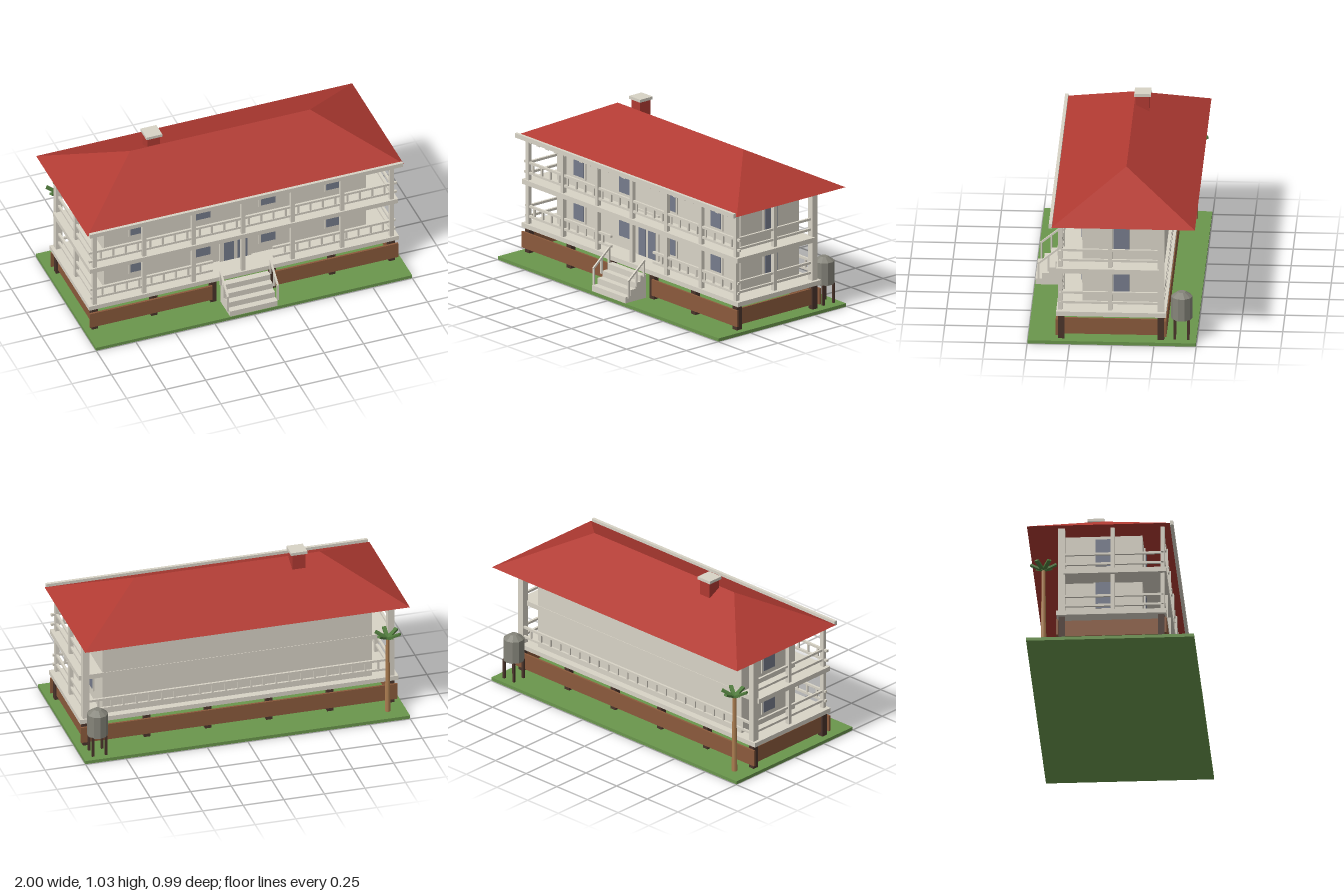
import * as THREE from 'three';

const paint = (name, hex) => {
  const m = new THREE.MeshStandardMaterial({ color: hex });
  m.name = name;
  return m;
};

export function createModel() {
  const model = new THREE.Group();
  model.name = 'verandaHouse';
  const cream = paint('cream', 0xd8d3c6), red = paint('roofRed', 0xb03a32),
    grass = paint('grassGreen', 0x6a964c), wood = paint('skirtBrown', 0x8b5a3c),
    dark = paint('darkWood', 0x4a342b), glass = paint('windowGrey', 0x767c8c),
    metal = paint('tankGrey', 0x85847a), bark = paint('bark', 0xab7d50),
    leaf = paint('leafGreen', 0x4f7a3c);
  metal.flatShading = true;
  bark.flatShading = true;

  const add = (name, geo, mat, parent = model) => {
    const mesh = new THREE.Mesh(geo, mat);
    mesh.name = name;
    parent.add(mesh);
    return mesh;
  };
  // Box given by its limits on each axis
  const box = (name, mat, x0, x1, y0, y1, z0, z1, parent) => {
    const mesh = add(name, new THREE.BoxGeometry(x1 - x0, y1 - y0, z1 - z0), mat, parent);
    mesh.position.set((x0 + x1) / 2, (y0 + y1) / 2, (z0 + z1) / 2);
    return mesh;
  };
  const post = (name, mat, x, z, w, y0, y1, parent) =>
    box(name, mat, x - w / 2, x + w / 2, y0, y1, z - w / 2, z + w / 2, parent);
  const group = (name) => {
    const g = new THREE.Group();
    g.name = name;
    model.add(g);
    return g;
  };

  // Lawn, decks and walls
  box('lawn', grass, -1, 1, 0, 0.02, -0.497, 0.497);
  box('lowerDeck', cream, -0.98, 0.98, 0.172, 0.2, -0.32, 0.33);
  box('upperDeck', cream, -0.975, 0.975, 0.443, 0.473, -0.278, 0.33);
  box('walls', cream, -0.83, 0.83, 0.2, 0.746, -0.275, 0.182);

  // Piers and skirting, open behind the steps
  const base = group('foundation');
  for (let i = 0; i < 6; i++)
    for (const z of [0.301, -0.289]) post('pier', dark, -0.94 + i * 0.376, z, 0.038, 0.02, 0.172, base);
  for (const s of [-1, 1]) {
    const e = [s * 0.2, s * 0.975].sort((a, b) => a - b);
    box('frontSkirt', wood, e[0], e[1], 0.047, 0.147, 0.32, 0.333, base);
    box('sideSkirt', wood, s * 0.942 - 0.006, s * 0.942 + 0.006, 0.047, 0.147, -0.31, 0.32, base);
  }
  box('backSkirt', wood, -0.975, 0.975, 0.047, 0.147, -0.322, -0.309, base);

  // Veranda posts
  const posts = group('verandaPosts');
  for (let i = 0; i < 7; i++) post('frontPost', cream, -0.94 + i * 0.3133, 0.308, 0.025, 0.2, 0.746, posts);
  for (const x of [-0.94, 0.94]) {
    post('sidePost', cream, x, 0.0125, 0.025, 0.2, 0.746, posts);
    post('backPost', cream, x, -0.289, 0.04, 0.2, 0.746, posts);
  }

  // Railings: two rails with short balusters between them
  const rails = group('railings');
  const railing = (x0, x1, z, lo, hi) => {
    for (const y of [lo, hi]) box('rail', cream, x0, x1, y, y + 0.014, z - 0.007, z + 0.007, rails);
    const n = Math.round((x1 - x0) / 0.078);
    for (let i = 1; i < n; i++) {
      const x = x0 + (x1 - x0) * i / n;
      box('baluster', cream, x - 0.006, x + 0.006, lo, hi, z - 0.005, z + 0.005, rails);
    }
  };
  railing(-0.965, -0.19, 0.308, 0.24, 0.302);
  railing(0.19, 0.965, 0.308, 0.24, 0.302);
  railing(-0.975, 0.975, 0.308, 0.51, 0.574);
  railing(-0.94, 0.94, -0.3, 0.24, 0.302);
  for (const x of [-0.94, 0.94])
    for (const y of [0.24, 0.302, 0.51, 0.574])
      box('sideRail', cream, x - 0.007, x + 0.007, y, y + 0.014, -0.289, 0.308, rails);

  // Windows, each a frame with a thin pane
  const windowAt = (x, y, z, turn) => {
    const g = group('window');
    box('windowFrame', cream, -0.058, 0.058, -0.1, 0.1, 0, 0.008, g);
    box('windowPane', glass, -0.046, 0.046, -0.087, 0.087, 0.008, 0.012, g);
    g.position.set(x, y, z);
    g.rotation.y = turn;
  };
  for (const y of [0.362, 0.635]) {
    for (const x of [-0.62, -0.207, 0.207, 0.62]) windowAt(x, y, 0.182, 0);
    for (const s of [-1, 1]) windowAt(s * 0.83, y, -0.05, s * Math.PI / 2);
  }

  // Double front door
  const door = group('frontDoor');
  box('doorFrame', cream, -0.1, 0.1, 0.2, 0.485, 0.182, 0.192, door);
  for (const x of [-0.043, 0.043]) box('doorPane', glass, x - 0.032, x + 0.032, 0.203, 0.455, 0.192, 0.196, door);

  // Front steps with sloping handrails
  const steps = group('frontSteps');
  for (let i = 0; i < 4; i++)
    box('step', cream, -0.15, 0.15, 0.02, 0.057 + i * 0.0365, 0.332, 0.493 - i * 0.04, steps);
  for (const x of [-0.158, 0.158]) {
    for (const [z, y0, y1] of [[0.473, 0.05, 0.157], [0.414, 0.11, 0.208], [0.355, 0.16, 0.258]])
      post('handrailPost', cream, x, z, 0.011, y0, y1, steps);
    const rail = add('handrail', new THREE.BoxGeometry(0.011, 0.011, 0.164), cream, steps);
    rail.position.set(x, 0.208, 0.414);
    rail.rotation.x = Math.atan2(0.103, 0.125);
  }

  // Hip roof: a box with its top drawn in to the ridge
  let hip = new THREE.BoxGeometry(2, 0.22, 0.848);
  const p = hip.attributes.position;
  for (let i = 0; i < p.count; i++) {
    if (p.getY(i) > 0) p.setXYZ(i, Math.sign(p.getX(i)) * 0.57, 0.965, -0.066);
    else p.setXYZ(i, p.getX(i), 0.745, p.getZ(i) - 0.068);
  }
  hip = hip.toNonIndexed();
  hip.computeVertexNormals();
  add('hipRoof', hip, red);

  // Gutter and the row of blocks behind it
  box('gutter', cream, -0.99, 0.99, 0.737, 0.764, 0.354, 0.373);
  const trim = group('eavesBlocks');
  for (let i = 0; i < 25; i++) {
    const x = -0.925 + i * 0.0771;
    box('eavesBlock', cream, x - 0.014, x + 0.014, 0.702, 0.746, 0.3, 0.314, trim);
  }

  // Chimney
  box('chimney', red, -0.455, -0.375, 0.88, 1.016, -0.155, -0.075);
  box('chimneyCap', cream, -0.465, -0.365, 1.016, 1.034, -0.164, -0.066);

  // Water tank on legs
  const tank = group('waterTank');
  tank.position.set(0.9, 0, -0.41);
  add('tankBody', new THREE.CylinderGeometry(0.063, 0.063, 0.14, 10), metal, tank).position.y = 0.212;
  add('tankLid', new THREE.CylinderGeometry(0.024, 0.063, 0.028, 10), metal, tank).position.y = 0.296;
  for (const x of [-0.04, 0.04])
    for (const z of [-0.04, 0.04]) post('tankLeg', dark, x, z, 0.014, 0.02, 0.145, tank);

  // Palm tree with six upturned fronds
  const palm = group('palmTree');
  palm.position.set(-0.89, 0, -0.4);
  add('trunk', new THREE.CylinderGeometry(0.011, 0.017, 0.49, 8), bark, palm).position.y = 0.265;
  for (let i = 0; i < 6; i++) {
    const arm = new THREE.Group();
    arm.name = 'frond';
    arm.position.y = 0.506;
    arm.rotation.set(-0.45, i * Math.PI / 3, 0, 'YXZ');
    palm.add(arm);
    add('frondBlade', new THREE.BoxGeometry(0.024, 0.012, 0.085), leaf, arm).position.z = 0.0425;
  }
  return model;
}
